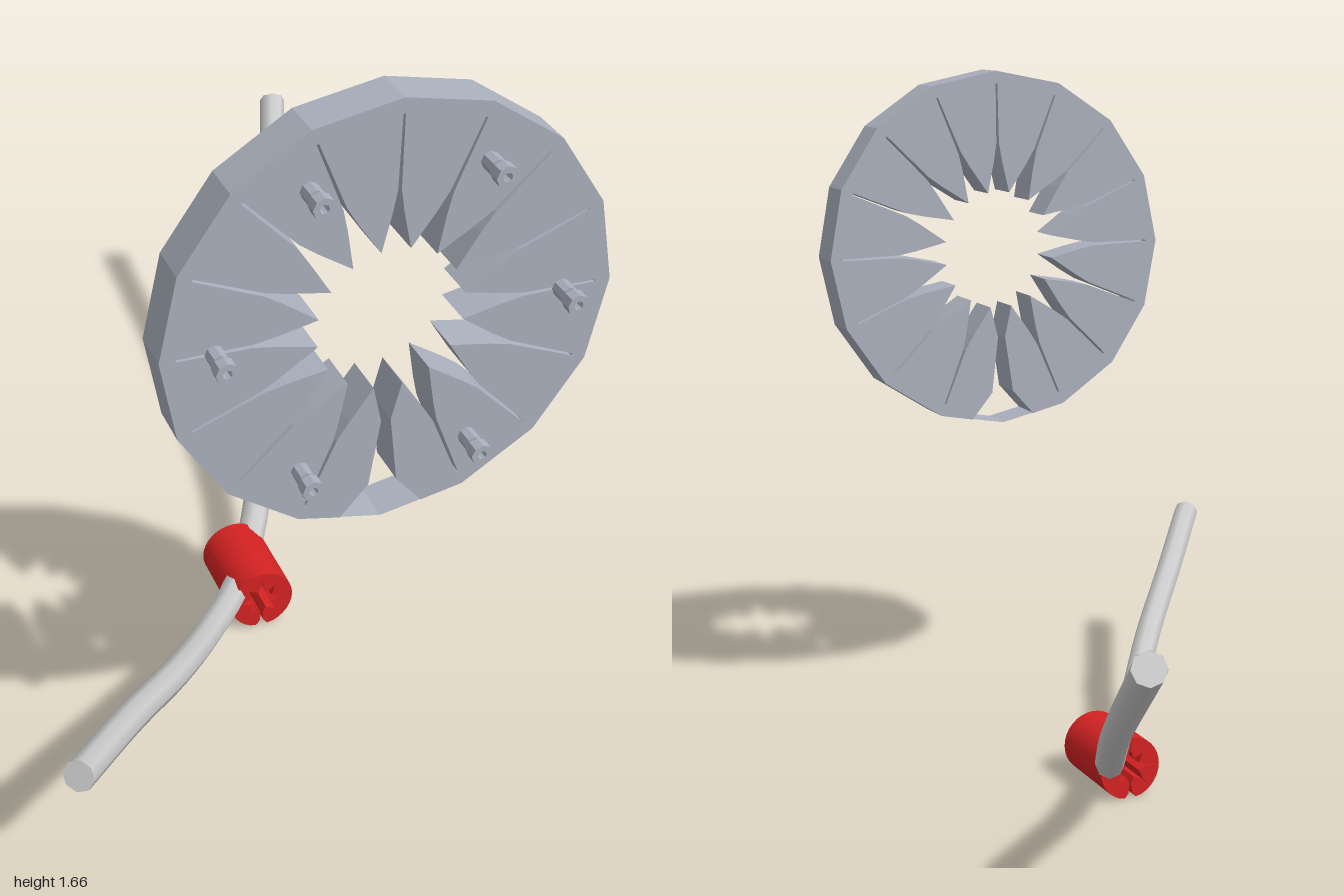
import * as THREE from 'three';
import { toCreasedNormals } from 'three/addons/utils/BufferGeometryUtils.js';

const material = (color, extra = {}) =>
  new THREE.MeshStandardMaterial({ color, side: THREE.DoubleSide, ...extra });

const RED = material(0xd42222);
const SLATE = material(0xaab0bd, { flatShading: true });
const GREY = material(0xcccccc);
const BOTTOM = -Math.PI / 2;

function add(parent, name, geometry, mat) {
  const mesh = new THREE.Mesh(geometry, mat);
  mesh.name = name;
  parent.add(mesh);
  return mesh;
}

// Split ring of pointed teeth with radial slits, open at the bottom.
// All proportions are fractions of the outer radius.
function toothedRing(radius, teeth, rimSteps, depth) {
  const points = [];
  const step = (Math.PI * 2) / teeth;
  // r: distance along the ray at angle a, w: sideways offset
  const put = (a, r, w = 0) => points.push(new THREE.Vector2(
    (r * Math.cos(a) - w * Math.sin(a)) * radius,
    (r * Math.sin(a) + w * Math.cos(a)) * radius));

  // Outer rim between the two rounded lobes beside the gap
  put(BOTTOM, 0.82, 0.065);
  put(BOTTOM, 0.965, 0.19);
  const count = teeth * rimSteps;
  for (let i = 1; i < count; i++) {
    const t = (i / count) * Math.PI * 2;
    if (t > 0.26 && t < Math.PI * 2 - 0.26) put(BOTTOM + t, 1);
  }
  put(BOTTOM, 0.965, -0.19);
  put(BOTTOM, 0.82, -0.065);
  put(BOTTOM, 0.5, -0.022);

  // Inner edge: tooth tip, then slit, back round to the gap
  const open = 0.4 / teeth;
  for (let k = teeth - 1; k >= 0; k--) {
    const a = BOTTOM + k * step;
    put(a + step / 2, 0.33);
    if (k === 0) break;
    put(a, 0.5, open);
    put(a, 0.6, 0.008);
    put(a, 0.93, 0.005);
    put(a, 0.93, -0.005);
    put(a, 0.6, -0.008);
    put(a, 0.5, -open);
  }
  put(BOTTOM, 0.5, 0.022);

  const geometry = new THREE.ExtrudeGeometry(new THREE.Shape(points), { depth, bevelEnabled: false });
  return toCreasedNormals(geometry, 0.5);
}

export function createModel() {
  const model = new THREE.Group();
  model.name = 'bentRodWithRings';

  // Large slitted disc with pegs on its front
  const disc = new THREE.Group();
  disc.name = 'slittedDisc';
  disc.position.set(0.077, 1.222, 0.77);
  model.add(disc);
  add(disc, 'discPlate', toothedRing(0.445, 16, 1, 0.09), SLATE);

  // Thin rim wall that bridges the gap at the bottom
  const wall = new THREE.CylinderGeometry(0.445, 0.445, 0.09, 2, 1, true, -Math.PI / 8, Math.PI / 4);
  wall.rotateX(Math.PI / 2);
  wall.translate(0, 0, 0.045);
  add(disc, 'rimBridge', wall, SLATE);

  // Hollow-ended pegs
  const pegProfile = [[0, 0.03], [0.009, 0.03], [0.009, 0.07], [0.022, 0.07], [0.022, 0.045], [0.018, 0.035], [0.018, 0]]
    .map(([x, y]) => new THREE.Vector2(x, y));
  const pegGeometry = new THREE.LatheGeometry(pegProfile, 8).rotateX(Math.PI / 2);
  for (let i = 0; i < 6; i++) {
    const a = (i * Math.PI) / 3;
    add(disc, 'peg', pegGeometry, SLATE).position.set(0.342 * Math.cos(a), 0.342 * Math.sin(a), 0.09);
  }

  // Red clamp around the rod
  add(model, 'clamp', toothedRing(0.076, 8, 4, 0.2), RED).position.set(0.077, 0.081, 0.06);

  // Bent rod
  const path = new THREE.CatmullRomCurve3([
    [-0.573, 0.41, 0.975], [-0.4, 0.315, 0.76], [-0.24, 0.222, 0.57], [-0.09, 0.135, 0.37],
    [0.03, 0.097, 0.21], [0.125, 0.118, 0.06], [0.21, 0.175, -0.1], [0.29, 0.275, -0.27],
    [0.39, 0.425, -0.5], [0.57, 0.735, -0.98],
  ].map((p) => new THREE.Vector3(...p)));
  const rod = new THREE.Group();
  rod.name = 'rod';
  model.add(rod);
  add(rod, 'rodTube', new THREE.TubeGeometry(path, 40, 0.033, 8), GREY);
  for (const t of [0, 1]) {
    const cap = add(rod, 'rodEnd', new THREE.CircleGeometry(0.033, 8), GREY);
    const end = path.getPointAt(t);
    cap.position.copy(end);
    cap.lookAt(end.clone().addScaledVector(path.getTangentAt(t), t ? 1 : -1));
  }
  return model;
}
